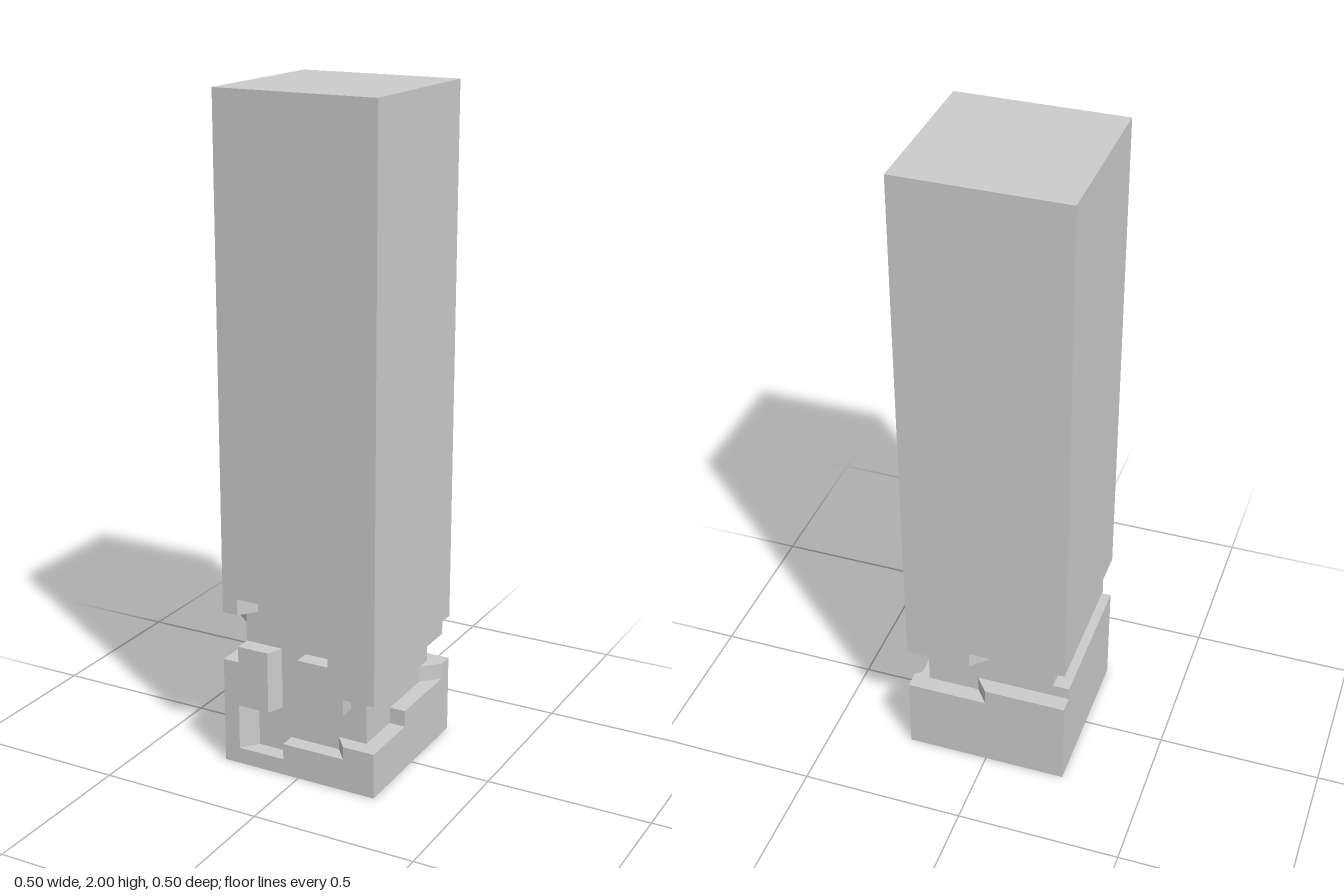
import * as THREE from 'three';

const HALF = 0.25, CORE = 0.2, BASE_Y = 0.04, TOP_Y = 0.6;
const material = new THREE.MeshStandardMaterial({ color: 0xcccccc, flatShading: true });

// Groove edges per side, left to right: [across, height, optional across at the groove floor]
const sides = [
  {
    name: 'front', turn: 0,
    upper: [[-0.25, 0.48], [-0.2, 0.48, -0.16], [-0.2, 0.53, -0.16], [0.1, 0.53, 0.08], [0.1, 0.38, 0.08],
      [0, 0.38], [0, 0.24], [0.15, 0.24], [0.15, 0.29], [0.25, 0.29]],
    lower: [[-0.25, 0.33], [-0.2, 0.33], [-0.2, 0.38], [-0.1, 0.38, -0.08], [-0.1, 0.19, -0.08],
      [-0.2, 0.19, -0.16], [-0.2, 0.05, -0.16], [-0.05, 0.05], [-0.05, 0.1], [0.15, 0.1, 0.11],
      [0.15, 0.14, 0.11], [0.25, 0.14]],
  },
  {
    name: 'left', turn: Math.PI / 2,
    upper: [[-0.25, 0.29], [-0.05, 0.29], [-0.05, 0.34], [0.2, 0.34], [0.2, 0.38], [0.25, 0.38]],
    lower: [[-0.25, 0.14], [-0.05, 0.14], [-0.05, 0.19], [0.2, 0.19, 0.15], [0.2, 0.24, 0.15], [0.25, 0.24]],
  },
  {
    name: 'back', turn: Math.PI,
    upper: [[-0.25, 0.38], [-0.05, 0.38, 0], [-0.05, 0.43, 0], [0.25, 0.43]],
    lower: [[-0.25, 0.24], [0, 0.24, -0.04], [0, 0.29, -0.04], [0.25, 0.29]],
  },
  {
    name: 'right', turn: -Math.PI / 2,
    upper: [[-0.25, 0.43], [0.15, 0.43, 0.19], [0.15, 0.48, 0.19], [0.25, 0.48]],
    lower: [[-0.25, 0.29], [-0.2, 0.29], [-0.2, 0.33], [0.25, 0.33]],
  },
];

function box(name, half, y0, y1) {
  const mesh = new THREE.Mesh(new THREE.BoxGeometry(half * 2, y1 - y0, half * 2), material);
  mesh.position.y = (y0 + y1) / 2;
  mesh.name = name;
  return mesh;
}

// Slab between a groove edge and a flat end, with mitred corners and sloped groove walls
function slab(name, edge, endY, turn) {
  const outline = [...edge, [HALF, endY], [-HALF, endY]].map(([x, y]) => new THREE.Vector2(x, y));
  const geometry = new THREE.ExtrudeGeometry(new THREE.Shape(outline), { depth: HALF - CORE, bevelEnabled: false });
  const p = geometry.attributes.position;
  const near = (a, b) => Math.abs(a - b) < 1e-4;
  for (let i = 0; i < p.count; i++) {
    if (p.getZ(i) > 0.01) continue;
    const x = p.getX(i), y = p.getY(i);
    const point = edge.find((e) => near(e[0], x) && near(e[1], y));
    if (near(Math.abs(x), HALF)) p.setX(i, Math.sign(x) * CORE);
    else if (point && point[2] !== undefined) p.setX(i, point[2]);
  }
  geometry.translate(0, 0, CORE);
  geometry.rotateY(turn);
  geometry.computeVertexNormals();
  const mesh = new THREE.Mesh(geometry, material);
  mesh.name = name;
  return mesh;
}

export function createModel() {
  const group = new THREE.Group();
  group.name = 'groovedPillar';

  // Solid pillar above and below, with a narrower core behind the groove
  group.add(box('base', HALF, 0, BASE_Y), box('core', CORE, BASE_Y, TOP_Y), box('shaft', HALF, TOP_Y, 2));

  // Stepped slabs that frame the groove on each side
  for (const { name, turn, upper, lower } of sides) {
    group.add(slab(name + 'UpperEdge', upper, TOP_Y, turn));
    group.add(slab(name + 'LowerEdge', lower, BASE_Y, turn));
  }
  return group;
}
